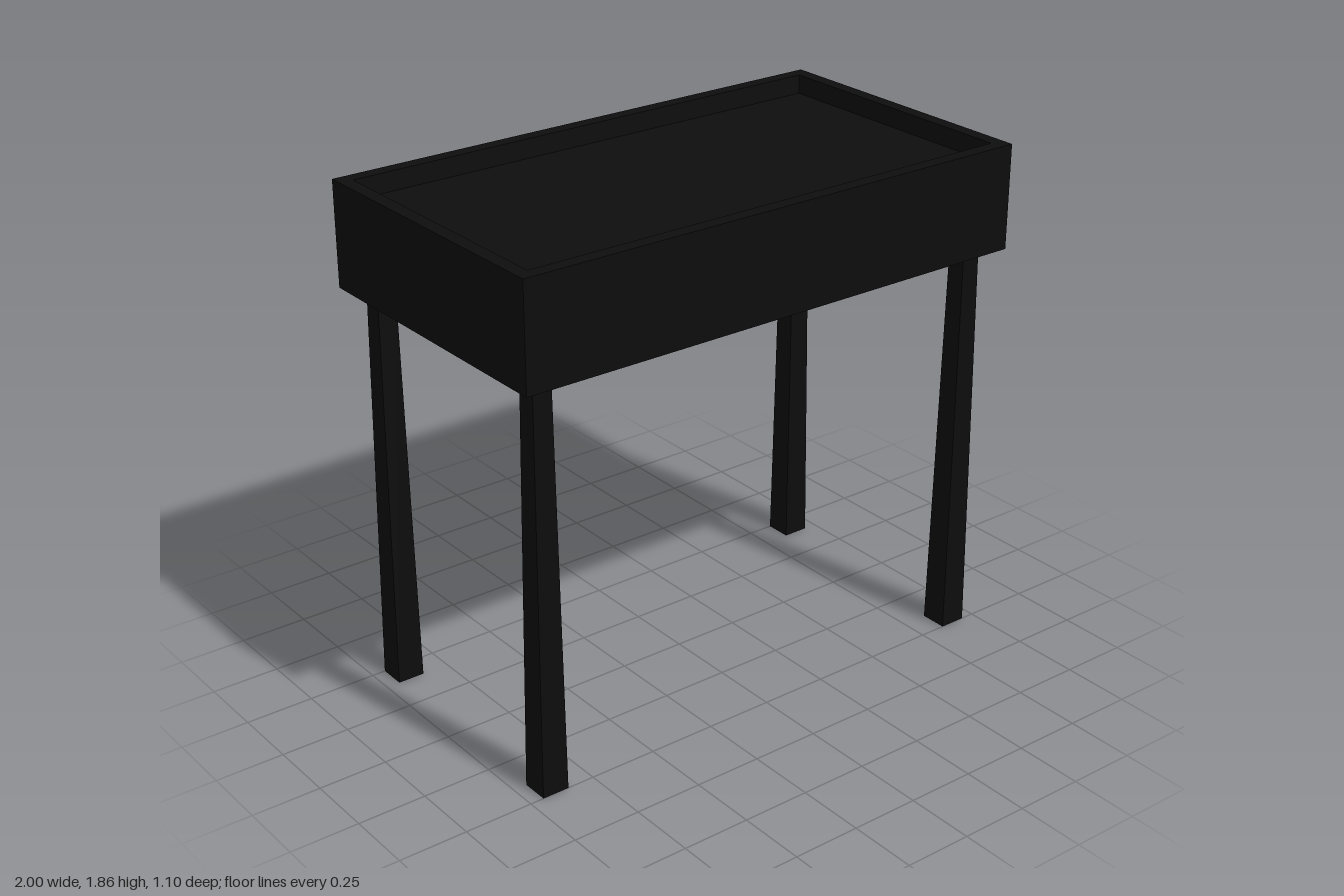
import * as THREE from 'three';

const WIDTH = 2, DEPTH = 1.1, TOP = 1.86, BOTTOM = 1.48;
const RIM = 0.05, RECESS = 0.07;

// Closed rectangle centred on the origin
function rectangle(PathType, w, d) {
  return new PathType([
    new THREE.Vector2(-w / 2, -d / 2), new THREE.Vector2(w / 2, -d / 2),
    new THREE.Vector2(w / 2, d / 2), new THREE.Vector2(-w / 2, d / 2),
  ]);
}

// Square leg, wider at the foot than under the top
function taperedLeg(height, foot, head) {
  const geometry = new THREE.BoxGeometry(foot, height, foot);
  geometry.translate(0, height / 2, 0);
  const p = geometry.attributes.position;
  for (let i = 0; i < p.count; i++) {
    const s = THREE.MathUtils.lerp(1, head / foot, p.getY(i) / height);
    p.setX(i, p.getX(i) * s);
    p.setZ(i, p.getZ(i) * s);
  }
  geometry.computeVertexNormals();
  return geometry;
}

export function createModel() {
  const model = new THREE.Group();
  model.name = 'table';
  const black = new THREE.MeshStandardMaterial({ color: 0x0d0d0d });
  black.name = 'black';

  // Deep solid body below the recess
  const bodyHeight = TOP - RECESS - BOTTOM;
  const body = new THREE.Mesh(new THREE.BoxGeometry(WIDTH, bodyHeight, DEPTH), black);
  body.name = 'tableBody';
  body.position.y = BOTTOM + bodyHeight / 2;
  model.add(body);

  // Raised rim around the sunken top
  const frame = rectangle(THREE.Shape, WIDTH, DEPTH);
  frame.holes.push(rectangle(THREE.Path, WIDTH - 2 * RIM, DEPTH - 2 * RIM));
  const rimGeometry = new THREE.ExtrudeGeometry(frame, { depth: RECESS, bevelEnabled: false });
  rimGeometry.rotateX(-Math.PI / 2);
  const rim = new THREE.Mesh(rimGeometry, black);
  rim.name = 'rim';
  rim.position.y = TOP - RECESS;
  model.add(rim);

  // Four tapered legs
  const legGeometry = taperedLeg(BOTTOM, 0.1, 0.07);
  for (const x of [-1, 1]) {
    for (const z of [-1, 1]) {
      const leg = new THREE.Mesh(legGeometry, black);
      leg.name = (z > 0 ? 'front' : 'back') + (x > 0 ? 'Left' : 'Right') + 'Leg';
      leg.position.set(x * 0.9, 0, z * 0.45);
      model.add(leg);
    }
  }
  return model;
}
